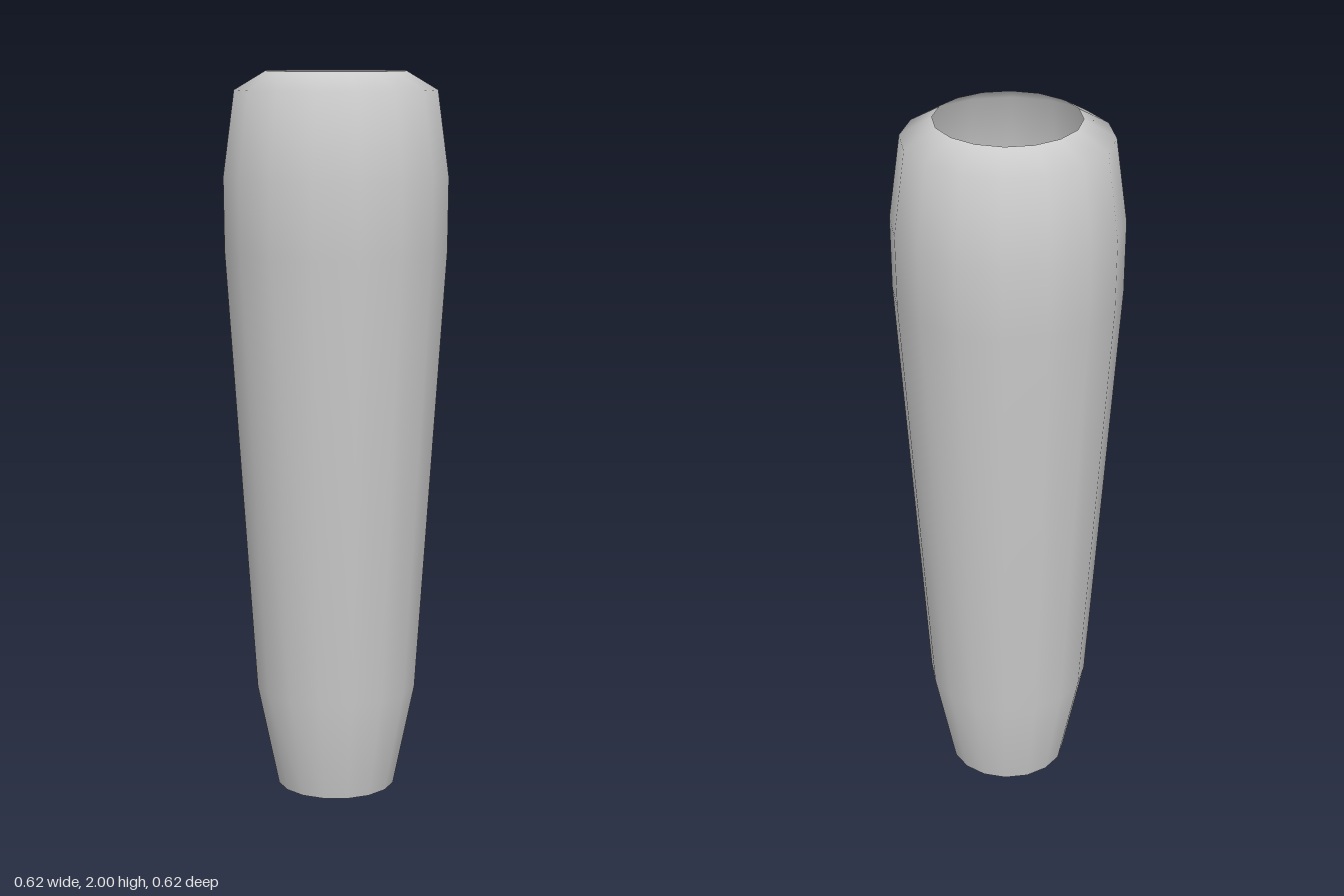
import * as THREE from 'three';

export function createModel() {
  const group = new THREE.Group();
  group.name = 'taperedSleeve';

  // Thin 16-sided shell, open at both ends: [radius, height]
  const profile = [
    [0.165, 0], [0.225, 0.29], [0.307, 1.52],
    [0.309, 1.72], [0.278, 1.95], [0.193, 2],
  ].map(([r, y]) => new THREE.Vector2(r, y));

  const shell = new THREE.Mesh(
    new THREE.LatheGeometry(profile, 16),
    new THREE.MeshStandardMaterial({ color: 0xcccccc, side: THREE.DoubleSide }),
  );
  shell.name = 'shell';
  group.add(shell);
  return group;
}
